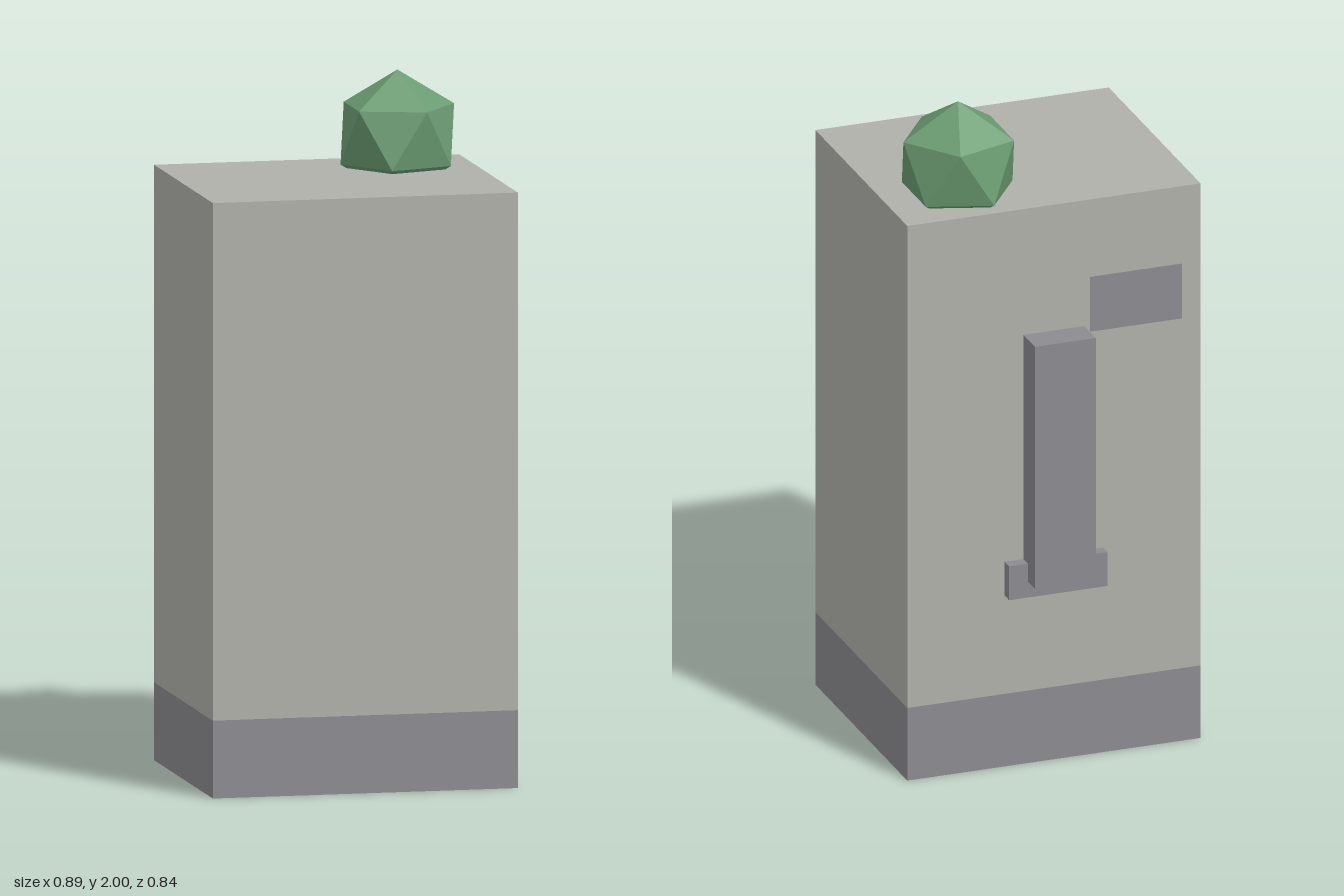
import * as THREE from 'three';

const paint = (color) => new THREE.MeshStandardMaterial({ color });

// Box given by its min and max corners
function block(name, [x0, y0, z0], [x1, y1, z1], material) {
  const geo = new THREE.BoxGeometry(x1 - x0, y1 - y0, z1 - z0);
  geo.translate((x0 + x1) / 2, (y0 + y1) / 2, (z0 + z1) / 2);
  const mesh = new THREE.Mesh(geo, material);
  mesh.name = name;
  return mesh;
}

export function createModel() {
  const model = new THREE.Group();
  model.name = 'cabinet';
  const wall = paint(0xb0b0aa);
  const trim = paint(0x8c8c90);
  const leaf = paint(0x6b9c72);
  const w = 0.447, back = -0.328, front = 0.422;

  // Main body on a darker plinth
  model.add(block('plinth', [-w, 0, back], [w, 0.225, front], trim));
  model.add(block('body', [-w, 0.225, back], [w, 1.72, front], wall));

  // Upright bar and nearly flush plate on the back
  model.add(block('backBar', [-0.093, 0.58, -0.422], [0.093, 1.33, back], trim));
  model.add(block('backPlate', [-0.39, 1.31, back - 0.001], [-0.11, 1.48, back + 0.01], trim));

  // U-shaped bracket around the foot of the bar
  const u = new THREE.Shape([
    [-0.15, 0.53], [0.15, 0.53], [0.15, 0.635], [0.093, 0.635],
    [0.093, 0.58], [-0.093, 0.58], [-0.093, 0.635], [-0.15, 0.635],
  ].map(([x, y]) => new THREE.Vector2(x, y)));
  const bracketGeo = new THREE.ExtrudeGeometry(u, { depth: 0.037, bevelEnabled: false });
  bracketGeo.translate(0, 0, back - 0.037);
  const bracket = new THREE.Mesh(bracketGeo, trim);
  bracket.name = 'barBracket';
  model.add(bracket);

  // Low-poly bush, one corner straight up, its lowest corner sunk into the top
  const bushGeo = new THREE.IcosahedronGeometry(0.186, 0);
  bushGeo.rotateZ(-Math.atan(2 / (1 + Math.sqrt(5))));
  leaf.flatShading = true;
  const bush = new THREE.Mesh(bushGeo, leaf);
  bush.name = 'bush';
  bush.position.set(0.223, 1.814, -0.142);
  model.add(bush);

  return model;
}
